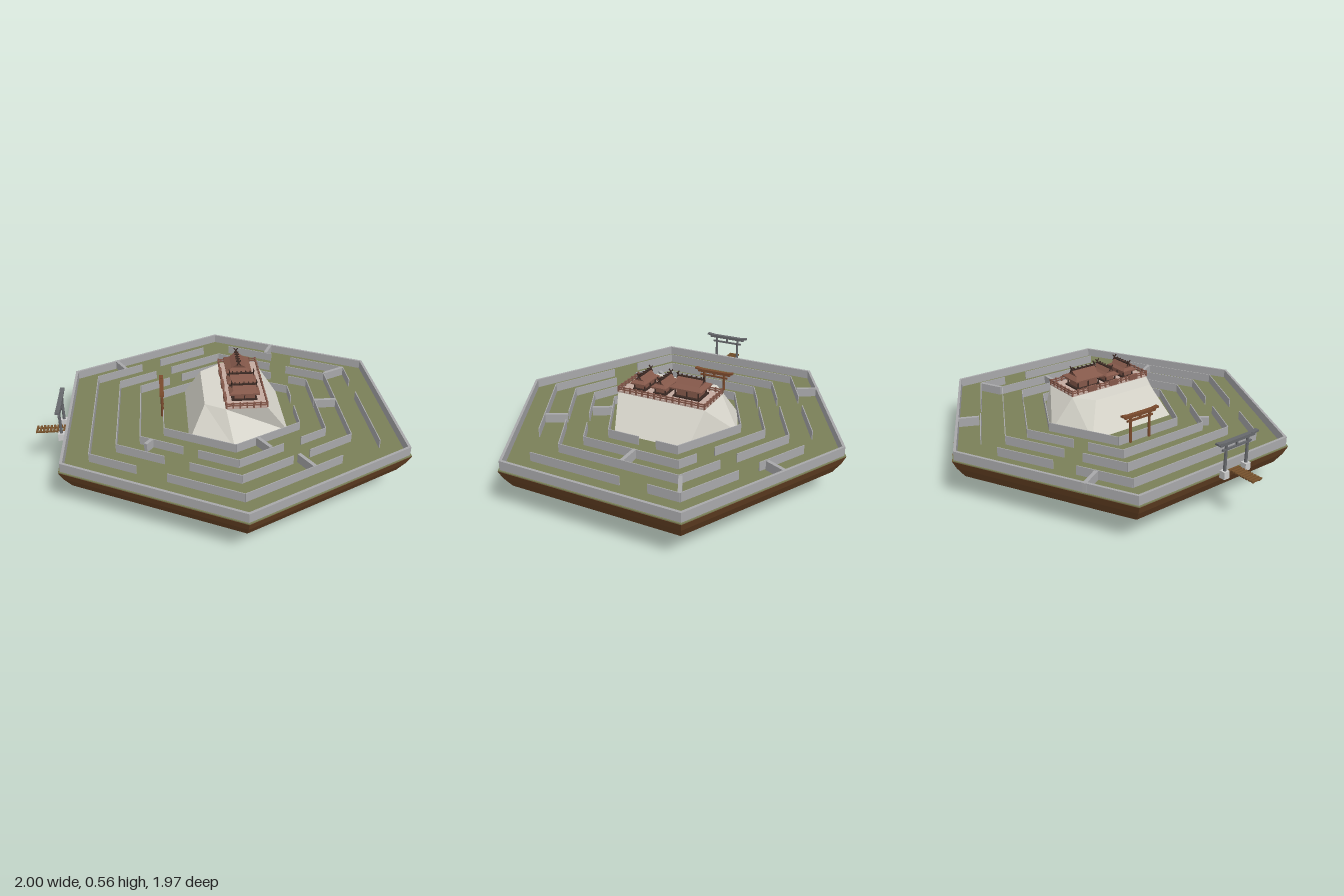
import * as THREE from 'three';

const mat = (color) => new THREE.MeshStandardMaterial({ color, flatShading: true, side: THREE.DoubleSide });
const M = {
  hull: mat(0x6b4526), grass: mat(0x7a8058), wall: mat(0xa8a8aa), rock: mat(0xd8d6cc),
  deck: mat(0xc4aaa0), wood: mat(0x84584a), dark: mat(0x3c2a24), stone: mat(0x66686c),
  gate: mat(0x7a4a2c), plank: mat(0x77522c), pale: mat(0xcccccc),
};
const CX = 0.08, GROUND = 0.24, WALL_H = 0.05;

// Corners of the stretched hexagon with apothem a, clockwise seen from above
const hex = (a) => [[0, -1.07], [1, -0.55], [1, 0.55], [0, 1.07], [-1, 0.55], [-1, -0.55]]
  .map(([x, z]) => [CX + x * a, z * a]);
const rect = (w, d) => [[-w / 2, -d / 2], [w / 2, -d / 2], [w / 2, d / 2], [-w / 2, d / 2]];

function add(parent, name, geometry, material, x = 0, y = 0, z = 0) {
  const mesh = new THREE.Mesh(geometry, material);
  mesh.name = name;
  mesh.position.set(x, y, z);
  parent.add(mesh);
  return mesh;
}
const box = (parent, name, material, w, h, d, x, y, z) =>
  add(parent, name, new THREE.BoxGeometry(w, h, d), material, x, y, z);

function group(parent, name, x = 0, y = 0, z = 0) {
  const g = new THREE.Group();
  g.name = name;
  g.position.set(x, y, z);
  parent.add(g);
  return g;
}

// Closed faceted solid through stacked outlines: [[y, outline], ...]
function loft(sections) {
  const rings = sections.map(([y, pts]) => pts.map(([x, z]) => [x, y, z]));
  const n = rings[0].length, pos = [];
  const tri = (...p) => p.forEach((v) => pos.push(...v));
  for (let s = 0; s < rings.length - 1; s++) {
    const b = rings[s], t = rings[s + 1];
    for (let i = 0; i < n; i++) {
      const j = (i + 1) % n;
      tri(b[i], t[j], b[j]);
      tri(b[i], t[i], t[j]);
    }
  }
  const b = rings[0], t = rings[rings.length - 1];
  for (let i = 1; i < n - 1; i++) {
    tri(b[0], b[i], b[i + 1]);
    tri(t[0], t[i + 1], t[i]);
  }
  const g = new THREE.BufferGeometry();
  g.setAttribute('position', new THREE.Float32BufferAttribute(pos, 3));
  g.computeVertexNormals();
  return g;
}

// Upright wall between two ground points
function wall(parent, name, [x0, z0], [x1, z1], thick) {
  const m = box(parent, name, M.wall, Math.hypot(x1 - x0, z1 - z0), WALL_H, thick,
    (x0 + x1) / 2, GROUND + WALL_H / 2, (z0 + z1) / 2);
  m.rotation.y = -Math.atan2(z1 - z0, x1 - x0);
}

function buildMaze(root) {
  const maze = group(root, 'maze');
  // Outer rim wall
  const path = (P, a) => new P().setFromPoints(hex(a).map(([x, z]) => new THREE.Vector2(x, z)));
  const rim = path(THREE.Shape, 0.91);
  rim.holes.push(path(THREE.Path, 0.895));
  const rimGeo = new THREE.ExtrudeGeometry(rim, { depth: WALL_H, bevelEnabled: false });
  rimGeo.rotateX(-Math.PI / 2);
  add(maze, 'rimWall', rimGeo, M.wall, 0, GROUND, 0);

  // Inner rings: per side, the stretches that stand between openings
  const rings = [
    [0.767, [[[.1, .45], [.6, 1]], [[0, .2], [.38, 1]], [[.3, 1]], [[0, .48], [.68, 1]], [[0, 1]], [[0, .35], [.5, .88]]]],
    [0.63, [[[0, .5], [.65, 1]], [[0, 1]], [[0, .4], [.55, 1]], [[0, .4], [.6, 1]], [[0, 1]], [[0, .35], [.5, 1]]]],
    [0.505, [[[0, .6], [.8, 1]], [[0, 1]], [[0, .3], [.5, 1]], [[0, .4], [.55, 1]], [[0, 1]], [[0, .35], [.5, 1]]]],
    [0.375, [[[0, 1]], [[0, .3], [.55, 1]], [[0, 1]], [[0, 1]], [[0, 1]], [[0, 1]]]],
  ];
  for (const [a, sides] of rings) {
    const c = hex(a);
    sides.forEach((spans, i) => {
      const p = c[i], q = c[(i + 1) % 6];
      const at = (t) => [p[0] + (q[0] - p[0]) * t, p[1] + (q[1] - p[1]) * t];
      for (const [t0, t1] of spans) wall(maze, 'ringWall', at(t0), at(t1), 0.005);
    });
  }
  // Cross walls that block the lanes
  [[.44, -.78, .39, -.67], [-.585, -.63, -.52, -.515], [.71, -.355, .845, -.42], [.58, -.03, .71, -.03],
    [.2, .335, .26, .435], [.395, .51, .455, .62], [-.36, .31, -.395, .355]]
    .forEach(([x0, z0, x1, z1]) => wall(maze, 'crossWall', [x0, z0], [x1, z1], 0.02));
}

// Gate with two posts and double lintel, spanning z
function buildGate(root, name, material, x, y, z, height, span, feet) {
  const g = group(root, name, x, y, z);
  for (const s of [-1, 1]) {
    add(g, 'post', new THREE.CylinderGeometry(0.007, 0.009, height, 8), material, 0, height / 2, s * span * 0.27);
    if (feet) box(g, 'footing', M.pale, 0.035, 0.04, 0.035, 0, 0.02, s * span * 0.27);
    const tip = box(g, 'lintelTip', material, 0.024, 0.01, span * 0.16, 0, height - 0.002, s * span * 0.425);
    tip.rotation.x = -s * 0.12;
  }
  box(g, 'lintel', material, 0.024, 0.01, span * 0.72, 0, height - 0.005, 0);
  box(g, 'underLintel', material, 0.016, 0.008, span * 0.86, 0, height - 0.015, 0);
  box(g, 'tieBeam', material, 0.01, 0.01, span * 0.72, 0, height * 0.78, 0);
  box(g, 'strut', material, 0.008, height * 0.16, 0.012, 0, height * 0.85, 0);
}

// Hall with hipped skirt and gabled upper roof, ridge along local x
function buildHall(root, name, x, z, len, wide, eave, peak, turned) {
  const y = 0.43, e = eave - y, p = peak - y, mid = e + (p - e) * 0.42;
  const g = group(root, name, x, y, z);
  if (turned) g.rotation.y = Math.PI / 2;
  box(g, 'floor', M.dark, len * 0.84, 0.01, wide * 0.84, 0, 0.005, 0);
  box(g, 'walls', M.wood, len * 0.68, e, wide * 0.62, 0, e / 2, 0);
  for (const sx of [-1, 0, 1]) for (const sz of [-1, 1])
    box(g, 'pillar', M.dark, 0.006, e, 0.006, sx * len * 0.36, e / 2, sz * wide * 0.35);
  add(g, 'roof', loft([
    [e - 0.004, rect(len, wide)], [e + 0.004, rect(len, wide)],
    [mid, rect(len * 0.74, wide * 0.56)], [p, rect(len * 0.82, wide * 0.06)],
  ]), M.wood);
  box(g, 'ridge', M.dark, len * 0.84, 0.007, 0.01, 0, p + 0.002, 0);
  for (let i = -2; i <= 2; i++)
    box(g, 'ridgeLog', M.dark, 0.006, 0.006, 0.026, i * len * 0.15, p + 0.007, 0);
  for (const s of [-1, 1]) for (const t of [-1, 1]) {
    const horn = box(g, 'ridgeHorn', M.dark, 0.005, 0.04, 0.005, s * len * 0.41, p + 0.006, 0);
    horn.rotation.x = t * 0.6;
  }
}

function buildShrine(root) {
  const s = group(root, 'shrine');
  const x0 = 0.042, x1 = 0.263, z0 = -0.268, z1 = 0.255, cx = (x0 + x1) / 2, cz = (z0 + z1) / 2;
  box(s, 'terrace', M.deck, x1 - x0, 0.012, z1 - z0, cx, 0.425, cz);
  // Railing around the terrace
  for (const y of [0.44, 0.452]) {
    for (const x of [x0, x1]) box(s, 'rail', M.wood, 0.006, 0.006, z1 - z0, x, y, cz);
    for (const z of [z0, z1]) box(s, 'rail', M.wood, x1 - x0, 0.006, 0.006, cx, y, z);
  }
  const post = (x, z) => box(s, 'railPost', M.wood, 0.008, 0.034, 0.008, x, 0.442, z);
  for (let i = 0; i <= 14; i++) for (const x of [x0, x1]) post(x, z0 + (z1 - z0) * i / 14);
  for (let i = 1; i < 6; i++) for (const z of [z0, z1]) post(x0 + (x1 - x0) * i / 6, z);
  // Entrance steps in front of each hall
  for (const z of [-0.135, 0.015, 0.155]) box(s, 'entrance', M.wood, 0.016, 0.03, 0.06, x0, 0.442, z);

  buildHall(s, 'mainHall', 0.14, -0.128, 0.19, 0.145, 0.485, 0.532, true);
  buildHall(s, 'middleHall', 0.147, 0.025, 0.165, 0.09, 0.472, 0.51, false);
  buildHall(s, 'frontHall', 0.147, 0.152, 0.165, 0.09, 0.472, 0.51, false);
}

export function createModel() {
  const root = new THREE.Group();
  root.name = 'floatingMazeIsland';

  // Earth body and grass
  add(root, 'earthBody', loft([[0, hex(0.64)], [0.13, hex(0.86)], [0.19, hex(0.9)], [0.235, hex(0.92)]]), M.hull);
  add(root, 'grass', loft([[0.234, hex(0.918)], [GROUND, hex(0.918)]]), M.grass);
  buildMaze(root);

  // Central rock
  add(root, 'rock', loft([
    [GROUND, [[.08, -.385], [.39, -.23], [.39, .21], [.08, .38], [-.16, .27], [-.16, -.28]]],
    [0.42, [[.04, -.27], [.265, -.27], [.265, .255], [.04, .255], [-.07, .19], [-.07, -.19]]],
  ]), M.rock);
  buildShrine(root);

  // Gates
  buildGate(root, 'outerGate', M.stone, -0.855, 0.22, 0.09, 0.2, 0.275, true);
  buildGate(root, 'innerGate', M.gate, -0.3, GROUND, -0.067, 0.162, 0.24, false);

  // Plank bridge
  const bridge = group(root, 'bridge', 0, 0.242, 0.092);
  for (const s of [-1, 1]) box(bridge, 'bridgeBeam', M.plank, 0.16, 0.006, 0.008, -0.918, -0.004, s * 0.02);
  for (let i = 0; i < 9; i++) box(bridge, 'bridgePlank', M.plank, 0.011, 0.008, 0.068, -0.9945 + i * 0.0185, 0.002, 0);
  return root;
}
